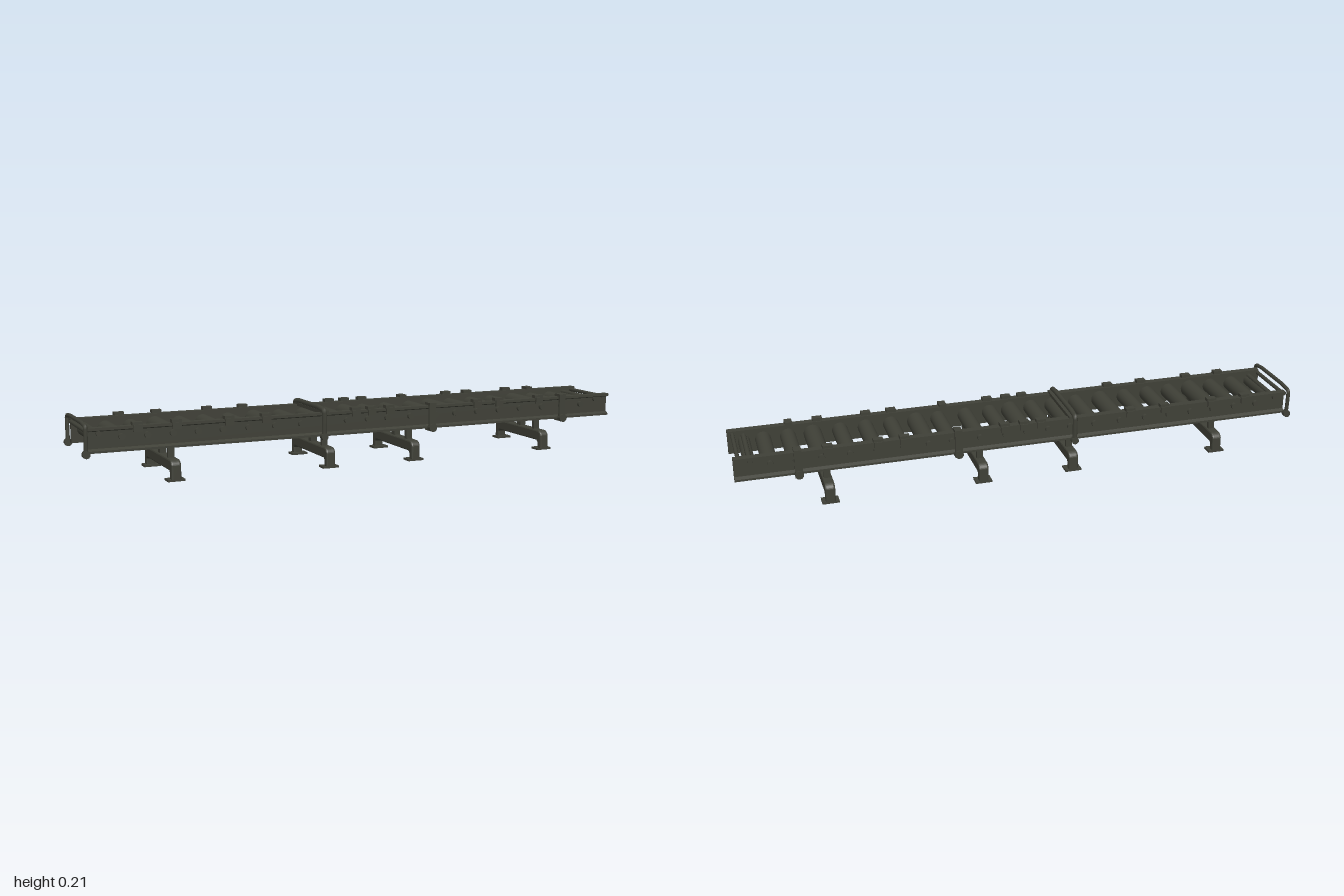
import * as THREE from 'three';

export function createModel() {
  const model = new THREE.Group();
  const iron = new THREE.MeshStandardMaterial({ color: 0x3f4037 });
  iron.name = 'dark iron';

  const add = (name, geometry, x = 0, y = 0, z = 0, parent = model) => {
    const mesh = new THREE.Mesh(geometry, iron);
    mesh.name = name;
    mesh.position.set(x, y, z);
    parent.add(mesh);
    return mesh;
  };
  const box = (name, w, h, d, x, y, z, parent) =>
    add(name, new THREE.BoxGeometry(w, h, d), x, y, z, parent);
  // Cylinder lying across the conveyor
  const rod = (name, r, length, x, y, z, sides = 16, parent) =>
    add(name, new THREE.CylinderGeometry(r, r, length, sides).rotateX(Math.PI / 2), x, y, z, parent);

  // Channel side rails: web inside, flanges pointing outward
  const channel = new THREE.Shape([
    [0.100, 0.105], [0.122, 0.105], [0.122, 0.112], [0.110, 0.118],
    [0.110, 0.173], [0.125, 0.178], [0.125, 0.187], [0.100, 0.187],
  ].map(([z, y]) => new THREE.Vector2(z, y)));
  for (const side of [1, -1]) {
    const rail = new THREE.ExtrudeGeometry(channel, { depth: 1.985, bevelEnabled: false });
    rail.rotateY(-Math.PI / 2); // profile x -> z, length -> -x
    rail.translate(1, 0, 0);
    const mesh = add(side > 0 ? 'frontRail' : 'backRail', rail);
    if (side < 0) {
      mesh.rotation.y = Math.PI;
      mesh.position.x = 0.015;
    }
  }

  // Rollers with axle ends showing through the webs
  const rollerX = [-0.87, -0.785, -0.7, -0.615, -0.53, -0.44, -0.345, -0.25, -0.16, -0.08,
    0, 0.075, 0.165, 0.265, 0.345, 0.435, 0.525, 0.615, 0.71, 0.795, 0.88];
  rollerX.forEach((x, i) => {
    const wide = i % 4 === 2 ? 0.031 : 0.027;
    rod('roller', wide, 0.2, x, 0.147, 0, 20);
    rod('axle', 0.011, 0.242, x, 0.153, 0, 8);
  });

  // Slim end rollers and tie rods
  for (const s of [1, -1]) {
    rod('endRoller', 0.02, 0.2, s * 0.945, 0.15, 0);
    rod('tieRod', 0.007, 0.23, s * 0.982, 0.176, 0, 8);
    rod('endAxle', 0.009, 0.24, s * 0.945, 0.168, 0, 8);
  }

  // Small clips hooked over the rail tops
  for (const x of [-0.82, -0.69, -0.51, -0.38, -0.05, 0.01, 0.08, 0.43, 0.52, 0.69]) {
    for (const s of [1, -1]) {
      box('railClipTop', 0.034, 0.013, 0.022, x, 0.1915, s * 0.116);
      box('railClipSide', 0.03, 0.022, 0.008, x, 0.178, s * 0.128);
    }
  }

  // Hoops over the belt line, ending in knobs under the rails
  const hoop = (x, r) => {
    const group = new THREE.Group();
    group.name = 'hoop';
    const half = [[0.129, 0.1], [0.132, 0.15], [0.133, 0.189], [0.126, 0.196], [0.085, 0.201]];
    const points = [...half, ...half.map(([z, y]) => [-z, y]).reverse()]
      .map(([z, y]) => new THREE.Vector3(x, y, z));
    const path = new THREE.CurvePath();
    for (let i = 1; i < points.length; i++) path.add(new THREE.LineCurve3(points[i - 1], points[i]));
    add('hoopBar', new THREE.TubeGeometry(path, 72, r, 8), 0, 0, 0, group);
    for (const s of [1, -1]) rod('hoopKnob', 0.013, 0.018, x, 0.105, s * 0.13, 10, group);
    model.add(group);
  };
  hoop(-0.99, 0.007);
  hoop(-0.172, 0.009);
  box('hoopBand', 0.026, 0.012, 0.25, -0.166, 0.188, 0);

  // Clamps strapped round each rail
  for (const x of [0.245, 0.79]) {
    for (const s of [1, -1]) {
      box('clampStrap', 0.026, 0.095, 0.008, x, 0.148, s * 0.129);
      box('clampTop', 0.026, 0.009, 0.035, x, 0.192, s * 0.116);
      box('clampBase', 0.026, 0.008, 0.035, x, 0.101, s * 0.116);
      rod('clampKnob', 0.015, 0.018, x, 0.108, s * 0.13, 10);
    }
  }

  // Bent beam stands: an arch outline given thickness along x
  const arch = new THREE.Shape();
  arch.moveTo(-0.16, 0.004);
  arch.lineTo(-0.16, 0.052);
  arch.quadraticCurveTo(-0.158, 0.064, -0.142, 0.07);
  arch.lineTo(0.142, 0.07);
  arch.quadraticCurveTo(0.158, 0.064, 0.16, 0.052);
  arch.lineTo(0.16, 0.004);
  arch.lineTo(0.137, 0.004);
  arch.lineTo(0.137, 0.026);
  arch.lineTo(0.131, 0.032);
  arch.lineTo(-0.131, 0.032);
  arch.lineTo(-0.137, 0.026);
  arch.lineTo(-0.137, 0.004);
  for (const x of [-0.705, -0.16, 0.165, 0.695]) {
    const stand = new THREE.Group();
    stand.name = 'stand';
    stand.position.x = x;
    const beam = new THREE.ExtrudeGeometry(arch, {
      depth: 0.022, bevelSize: 0.005, bevelThickness: 0.006, bevelOffset: -0.005, bevelSegments: 2,
    });
    beam.translate(0, 0, -0.011).rotateY(Math.PI / 2);
    add('standBeam', beam, 0, 0, 0, stand);
    for (const s of [1, -1]) {
      box('footPlate', 0.058, 0.007, 0.04, 0, 0.0035, s * 0.14, stand);
      box('sidePost', 0.022, 0.055, 0.013, 0, 0.0925, s * 0.099, stand);
    }
    box('centrePost', 0.022, 0.045, 0.023, 0, 0.088, 0, stand);
    box('crossBar', 0.022, 0.01, 0.2, 0, 0.109, 0, stand);
    model.add(stand);
  }

  return model;
}
